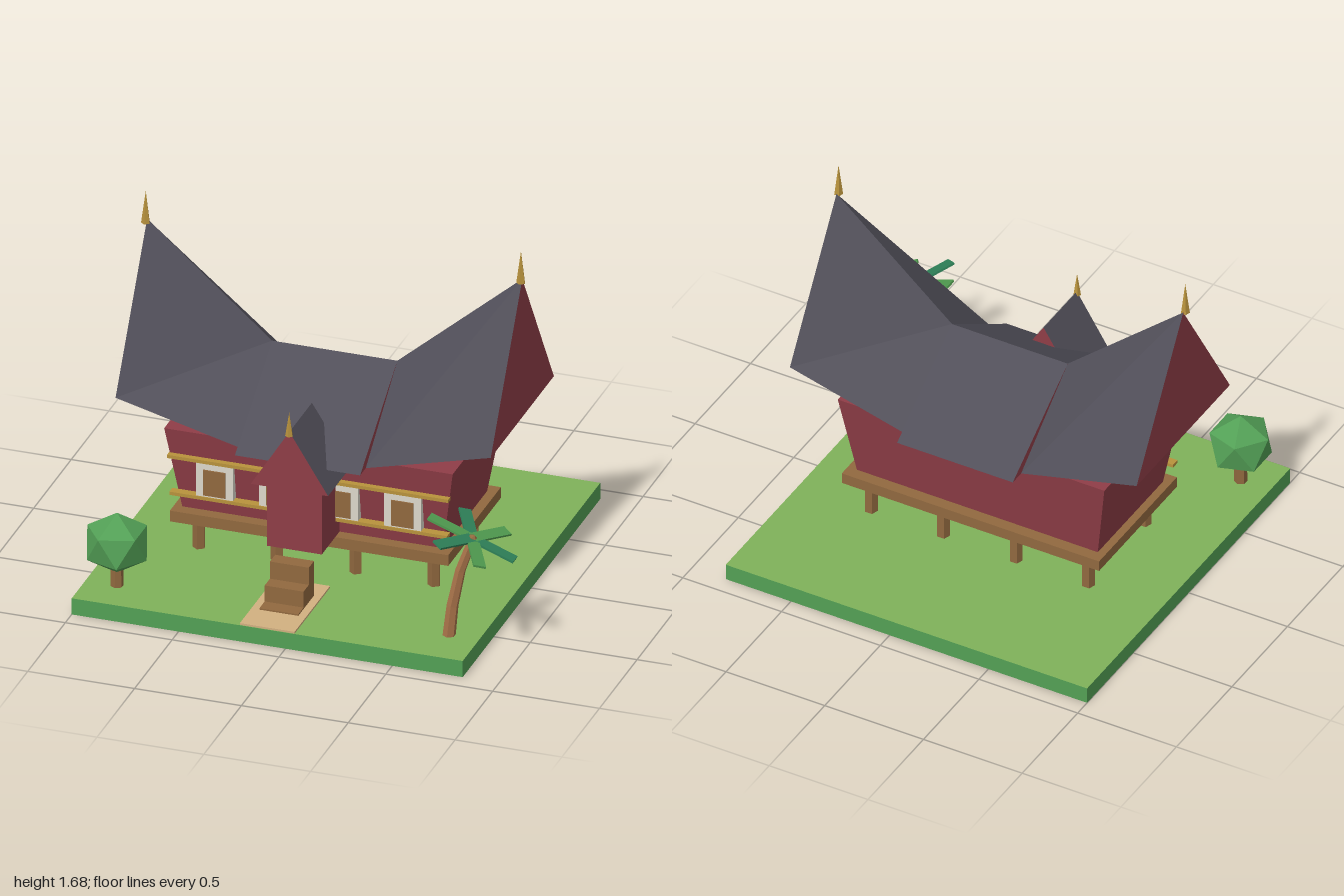
import * as THREE from 'three';

const mat = (color) => new THREE.MeshStandardMaterial({ color, flatShading: true });

export function createModel() {
  const model = new THREE.Group();
  const M = {
    grass: mat(0x7fb25a), soil: mat(0x53a055), red: mat(0x8f3d47), roof: mat(0x514f59),
    wood: mat(0x91693f), trunk: mat(0xa9744a), gold: mat(0xb8923c), frame: mat(0xdcd8cb),
    path: mat(0xd2b080), leafA: mat(0x2e8058), leafB: mat(0x4f9a4f), bush: mat(0x53a056),
  };
  const CX = -0.085, CZ = 0.017; // house centre

  const add = (name, geometry, material, x = 0, y = 0, z = 0, parent = model) => {
    const mesh = new THREE.Mesh(geometry, material);
    mesh.name = name;
    mesh.position.set(x, y, z);
    parent.add(mesh);
    return mesh;
  };
  // box given by its limits on each axis
  const block = (name, material, [x0, x1], [y0, y1], [z0, z1], parent = model) =>
    add(name, new THREE.BoxGeometry(x1 - x0, y1 - y0, z1 - z0), material,
      (x0 + x1) / 2, (y0 + y1) / 2, (z0 + z1) / 2, parent);

  const surface = (triangles) => {
    const g = new THREE.BufferGeometry().setFromPoints(triangles);
    g.computeVertexNormals();
    return g;
  };
  // gabled roof lofted along x between two sections { x, ridge, eave, depth }
  const gableRoof = (name, a, b) => {
    const corners = (s) => [
      new THREE.Vector3(s.x, s.ridge, 0),
      new THREE.Vector3(s.x, s.eave, s.depth),
      new THREE.Vector3(s.x, s.eave, -s.depth),
    ];
    const [R0, F0, B0] = corners(a), [R1, F1, B1] = corners(b);
    const quad = (p, q, r, s) => [p, q, r, p, r, s];
    const group = new THREE.Group();
    group.name = name;
    add(name + 'Slopes', surface([...quad(F0, F1, R1, R0), ...quad(B1, B0, R0, R1)]), M.roof, 0, 0, 0, group);
    add(name + 'Gables', surface([B0, F0, R0, F1, B1, R1, ...quad(F0, B0, B1, F1)]), M.red, 0, 0, 0, group);
    model.add(group);
    return group;
  };
  const finial = (name, x, y, z, r, h) =>
    add(name, new THREE.ConeGeometry(r, h, 5), M.gold, x, y + h / 2, z);

  // ground and path
  block('ground', [M.soil, M.soil, M.grass, M.soil, M.soil, M.soil], [-1, 0.83], [0, 0.08], [-0.915, 0.915]);
  block('path', M.path, [-0.214, 0.042], [0.078, 0.089], [0.44, 0.912]);

  // stilts and platform
  for (const x of [-0.55, -0.184, 0.184, 0.55])
    for (const z of [-0.255, 0.255])
      add('stilt', new THREE.CylinderGeometry(0.03, 0.03, 0.18, 5), M.wood, CX + x, 0.165, z);
  block('platform', M.wood, [CX - 0.648, CX + 0.655], [0.243, 0.296], [-0.332, 0.368]);

  // walls flare outward toward the top
  const walls = new THREE.BoxGeometry(1, 0.405, 1);
  const p = walls.attributes.position;
  for (let i = 0; i < p.count; i++) {
    const top = p.getY(i) > 0;
    p.setX(i, Math.sign(p.getX(i)) * (top ? 0.675 : 0.61));
    p.setZ(i, Math.sign(p.getZ(i)) * (top ? 0.35 : 0.293));
  }
  walls.computeVertexNormals();
  add('walls', walls, M.red, CX, 0.4975, CZ);

  // windows and rails
  for (const x of [-0.44, -0.145, 0.145, 0.44]) {
    const c = CX + x;
    block('windowFrame', M.frame, [c - 0.086, c + 0.086], [0.375, 0.565], [0.32, 0.365]);
    block('windowShutter', M.wood, [c - 0.052, c + 0.052], [0.4, 0.525], [0.33, 0.372]);
  }
  block('upperRail', M.gold, [CX - 0.658, CX + 0.658], [0.56, 0.576], [0.345, 0.378]);
  block('lowerRail', M.gold, [CX - 0.65, CX + 0.65], [0.375, 0.391], [0.33, 0.37]);

  // saddle roof: middle section with two upswept wings
  const kink = 0.293, tip = 0.878;
  const mid = (x) => ({ x, ridge: 1.03, eave: 0.7, depth: 0.495 });
  const inner = (x) => ({ x, ridge: 1.03, eave: 0.7, depth: 0.42 });
  const outer = (x) => ({ x, ridge: 1.535, eave: 0.85, depth: 0.42 });
  for (const part of [
    gableRoof('middleRoof', mid(-kink), mid(kink)),
    gableRoof('rightRoofWing', outer(-tip), inner(-kink)),
    gableRoof('leftRoofWing', inner(kink), outer(tip)),
  ]) part.position.set(CX, 0, CZ);
  for (const s of [-1, 1]) finial('roofFinial', CX + s * tip, 1.525, 0.035, 0.021, 0.157);

  // entrance porch with its own gable
  block('porch', M.red, [-0.214, 0.042], [0.298, 0.635], [0.3, 0.55]);
  const end = (x) => ({ x, ridge: 0.918, eave: 0.63, depth: 0.181 });
  const porchRoof = gableRoof('porchRoof', end(0.32), end(0.62));
  porchRoof.rotation.y = -Math.PI / 2;
  porchRoof.position.x = CX;
  finial('porchFinial', CX, 0.9, 0.622, 0.018, 0.115);

  // entrance steps
  [[0.26, 0.55, 0.62], [0.175, 0.62, 0.69], [0.096, 0.69, 0.76]].forEach(([y, z0, z1]) =>
    block('step', M.wood, [CX - 0.091, CX + 0.091], [0.08, y], [z0, z1]));

  // round tree: faceted crown standing on a vertex
  add('treeTrunk', new THREE.CylinderGeometry(0.026, 0.03, 0.2, 6), M.wood, -0.853, 0.175, 0.73);
  const crown = new THREE.IcosahedronGeometry(0.148, 0);
  crown.rotateZ(Math.atan(2 / (1 + Math.sqrt(5))));
  crown.scale(1.05, 1, 1.05);
  add('treeCrown', crown, M.bush, -0.853, 0.292, 0.73);

  // palm: leaning trunk in tapered pieces
  const Z = 0.695;
  const knots = [[0.688, 0.07, 0.03], [0.705, 0.23, 0.027], [0.742, 0.41, 0.024], [0.8, 0.575, 0.021]];
  for (let i = 0; i < 3; i++) {
    const [x0, y0, r0] = knots[i], [x1, y1, r1] = knots[i + 1];
    const piece = add('palmTrunk', new THREE.CylinderGeometry(r1, r0, Math.hypot(x1 - x0, y1 - y0) + 0.008, 6),
      M.trunk, (x0 + x1) / 2, (y0 + y1) / 2, Z);
    piece.rotation.z = -Math.atan2(x1 - x0, y1 - y0);
  }
  add('palmHeart', new THREE.IcosahedronGeometry(0.022, 0), M.wood, 0.798, 0.574, Z);

  // palm leaves radiate in one tilted plane
  const leaves = new THREE.Group();
  leaves.name = 'palmLeaves';
  leaves.position.set(0.797, 0.578, Z);
  leaves.rotation.z = -0.352;
  for (let i = 0; i < 6; i++) {
    const leaf = new THREE.BoxGeometry(0.214, 0.01, 0.058);
    leaf.translate(0.107, 0, 0);
    add('palmLeaf', leaf, i % 2 ? M.leafB : M.leafA, 0, 0, 0, leaves).rotation.y = i * Math.PI / 3;
  }
  model.add(leaves);
  return model;
}
